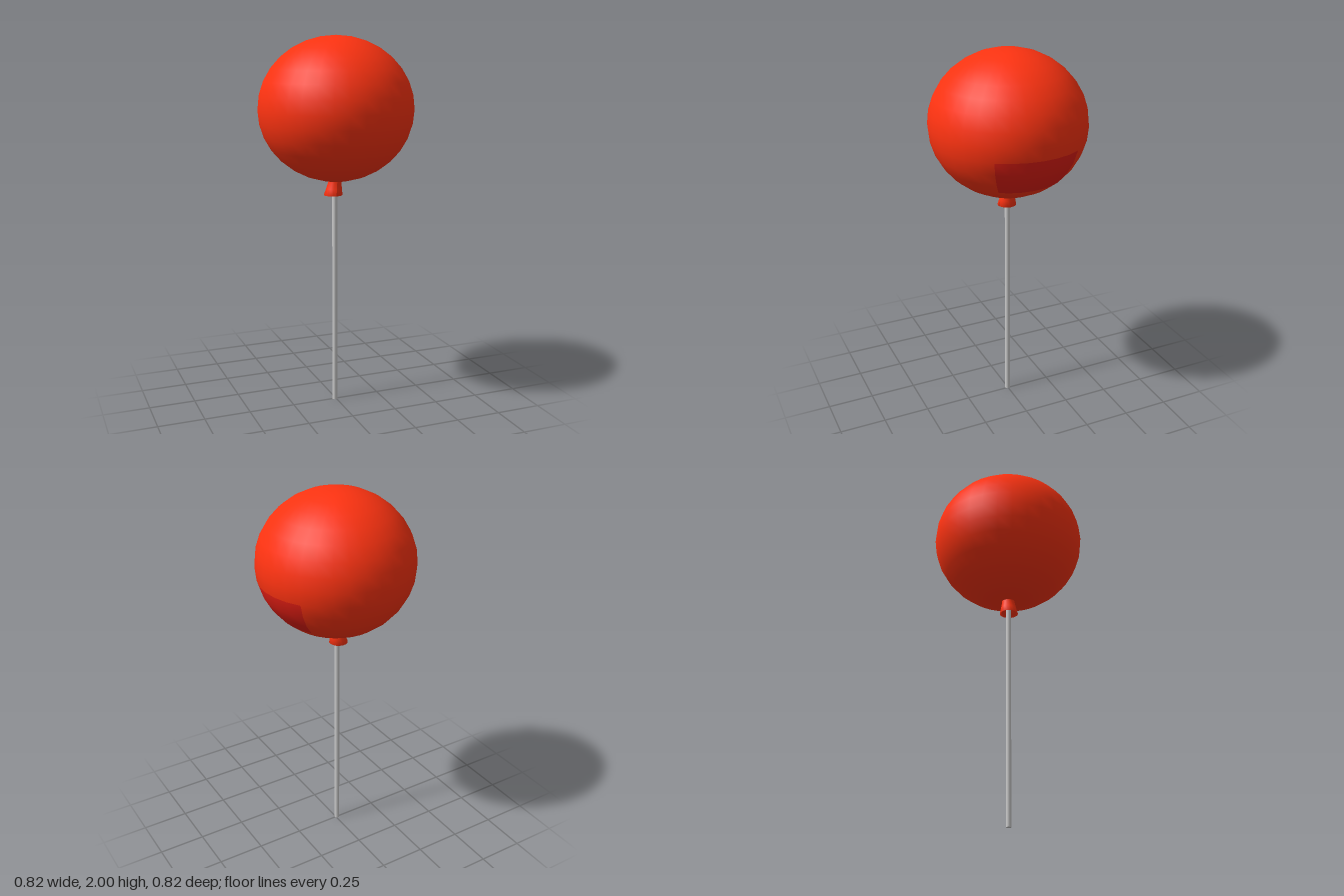
import * as THREE from 'three';

const RED = new THREE.MeshStandardMaterial({ color: 0xff3311, side: THREE.DoubleSide });
const DARK_RED = new THREE.MeshStandardMaterial({ color: 0xe61e14, side: THREE.DoubleSide });
const GREY = new THREE.MeshStandardMaterial({ color: 0xcccccc });

const STEP = Math.PI / 16; // balloon grid: 32 columns by 16 rows

function add(parent, name, geometry, material) {
  const mesh = new THREE.Mesh(geometry, material);
  mesh.name = name;
  parent.add(mesh);
  return mesh;
}

// A piece of the balloon skin, given in grid columns and rows
function skin(column, columns, row, rows) {
  return new THREE.SphereGeometry(1, columns, rows, column * STEP, columns * STEP, row * STEP, rows * STEP);
}

export function createModel() {
  const model = new THREE.Group();
  model.name = 'balloonOnStick';

  // Balloon: slightly flattened sphere with a darker panel on its left side
  const balloon = new THREE.Group();
  balloon.name = 'balloon';
  balloon.position.y = 1.62;
  balloon.scale.set(0.411, 0.38, 0.411);
  model.add(balloon);
  add(balloon, 'balloonTop', skin(0, 32, 0, 9), RED);
  add(balloon, 'balloonBand', skin(19, 26, 9, 3), RED);
  add(balloon, 'balloonBottom', skin(0, 32, 12, 4), RED);
  add(balloon, 'sidePanel', skin(13, 6, 9, 3), DARK_RED);

  // Neck: hollow flared spout, leaning a little to the right at its mouth
  const profile = [
    [0.014, 1.2], [0.036, 1.172], [0.05, 1.165], [0.042, 1.2], [0.035, 1.235], [0.036, 1.25],
  ].map(([r, y]) => new THREE.Vector2(r, y));
  const neck = new THREE.LatheGeometry(profile, 16);
  const p = neck.attributes.position;
  for (let i = 0; i < p.count; i++) {
    p.setX(i, p.getX(i) - 0.004 - 0.14 * (1.25 - p.getY(i)));
  }
  neck.computeVertexNormals();
  add(model, 'neck', neck, RED);

  // Stick
  const stick = add(model, 'stick', new THREE.CylinderGeometry(0.014, 0.014, 1.25, 12), GREY);
  stick.position.set(-0.007, 0.625, 0.001);

  return model;
}
